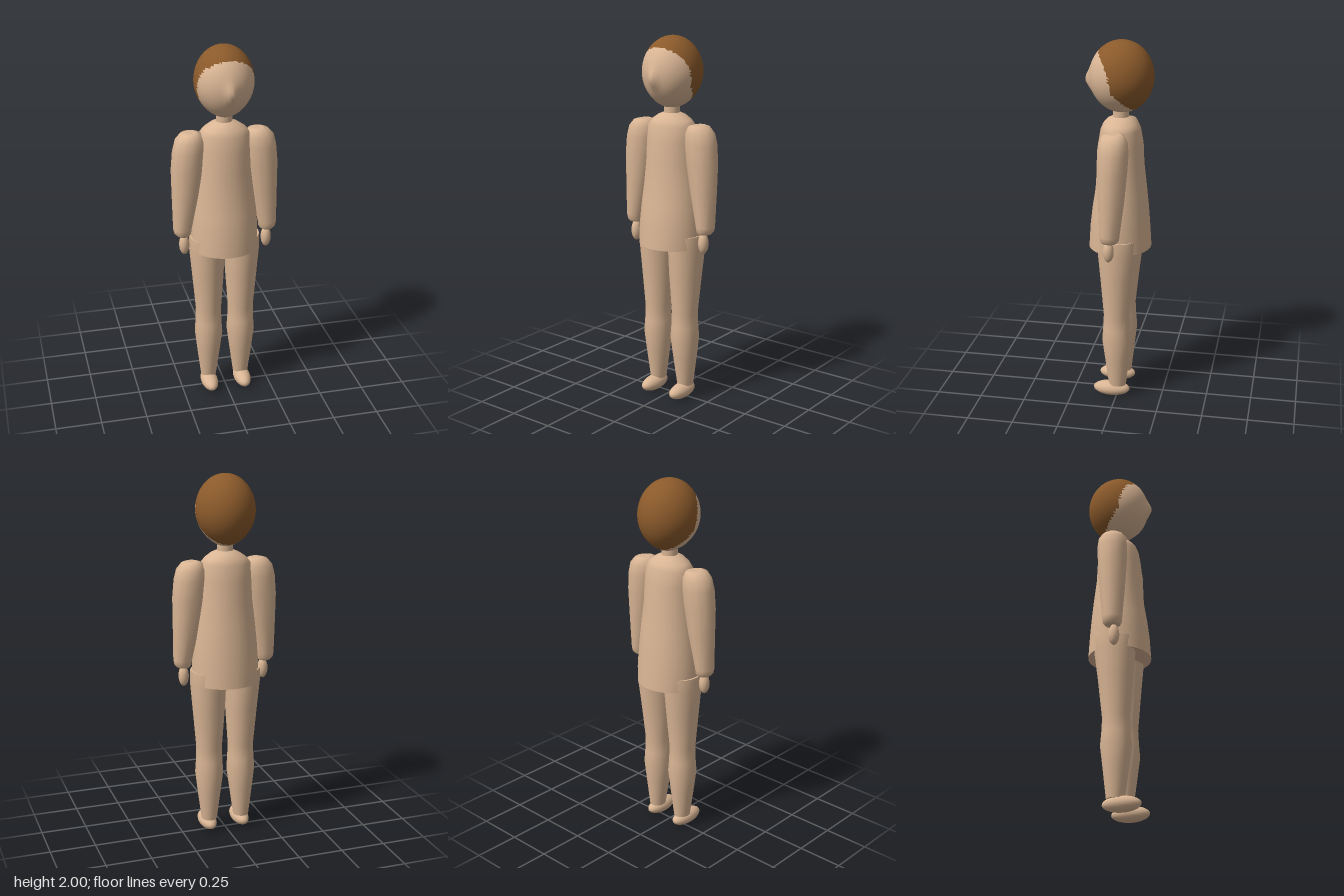
import * as THREE from 'three';
import { mergeVertices } from 'three/addons/utils/BufferGeometryUtils.js';

const skin = new THREE.MeshStandardMaterial({ color: 0xd9b594 });
skin.name = 'skin';
const hair = new THREE.MeshStandardMaterial({ color: 0x8b5a2b });
hair.name = 'hair brown';

// Stack of elliptical rings, top to bottom: [y, centreX, centreZ, radiusX, radiusZ]
function loft(name, rings, sides) {
  const n = rings.length - 1;
  let geo = new THREE.CylinderGeometry(1, 1, 1, sides, n);
  geo.deleteAttribute('uv');
  geo = mergeVertices(geo); // closes the seam, keeps cap edges sharp
  const p = geo.attributes.position;
  for (let i = 0; i < p.count; i++) {
    const [y, cx, cz, rx, rz] = rings[Math.round((0.5 - p.getY(i)) * n)];
    p.setXYZ(i, cx + p.getX(i) * rx, y, cz + p.getZ(i) * rz);
  }
  geo.computeVertexNormals();
  const mesh = new THREE.Mesh(geo, skin);
  mesh.name = name;
  return mesh;
}

function ellipsoid(name, centre, radii) {
  const mesh = new THREE.Mesh(new THREE.SphereGeometry(1, 20, 14), skin);
  mesh.name = name;
  mesh.position.set(...centre);
  mesh.scale.set(...radii);
  return mesh;
}

// Egg-shaped head with a soft pointed nose; hair covers the faces behind the hairline
function makeHead() {
  let geo = new THREE.SphereGeometry(1, 56, 40);
  geo.deleteAttribute('uv');
  geo = mergeVertices(geo);
  const p = geo.attributes.position;
  for (let i = 0; i < p.count; i++) {
    const ux = p.getX(i), uy = p.getY(i), uz = p.getZ(i);
    const taper = uy < 0 ? 1 - 0.13 * uy * uy : 1;
    const x = ux * 0.157 * taper;
    const y = 1.81 + uy * 0.19;
    let z = -0.012 + uz * 0.17;
    if (uz > 0) z += 0.025 * Math.exp(-((x / 0.025) ** 2) - ((y - 1.785) / 0.05) ** 2);
    p.setXYZ(i, x, y, z);
  }
  geo.computeVertexNormals();

  const hairline = [[1.62, -0.1], [1.71, -0.01], [1.75, 0.025], [1.83, 0.037], [1.89, 0.063], [1.95, 0.11], [2.01, 0.2]];
  const limit = (y) => {
    let k = 0;
    while (k < hairline.length - 2 && y > hairline[k + 1][0]) k++;
    const [y0, z0] = hairline[k], [y1, z1] = hairline[k + 1];
    return z0 + (z1 - z0) * (y - y0) / (y1 - y0);
  };
  const faces = [[], []];
  const idx = geo.index.array;
  for (let i = 0; i < idx.length; i += 3) {
    const f = [idx[i], idx[i + 1], idx[i + 2]];
    const y = f.reduce((s, v) => s + p.getY(v), 0) / 3;
    const z = f.reduce((s, v) => s + p.getZ(v), 0) / 3;
    faces[z < limit(y) ? 1 : 0].push(...f);
  }
  geo.setIndex([...faces[0], ...faces[1]]);
  geo.addGroup(0, faces[0].length, 0);
  geo.addGroup(faces[0].length, faces[1].length, 1);
  const mesh = new THREE.Mesh(geo, [skin, hair]);
  mesh.name = 'headAndHair';
  return mesh;
}

export function createModel() {
  const model = new THREE.Group();
  model.name = 'standingFigure';
  model.add(makeHead());

  model.add(loft('neck', [[1.67, 0, -0.007, 0.043, 0.043], [1.58, 0, -0.007, 0.043, 0.043]], 20));

  // Torso, flaring to the hem
  model.add(loft('torso', [
    [1.597, 0, -0.005, 0.045, 0.045],
    [1.585, 0, -0.006, 0.075, 0.07],
    [1.56, 0, -0.007, 0.112, 0.093],
    [1.53, 0, -0.007, 0.137, 0.106],
    [1.45, 0, -0.007, 0.142, 0.12],
    [1.34, 0, -0.007, 0.146, 0.125],
    [1.2, 0, -0.01, 0.162, 0.138],
    [1.1, 0, -0.007, 0.173, 0.151],
    [1.0, 0, -0.005, 0.181, 0.161],
    [0.875, 0, -0.005, 0.182, 0.169],
  ], 36));

  for (const s of [1, -1]) {
    const side = s > 0 ? 'left' : 'right';

    model.add(loft(side + 'Arm', [
      [1.547, s * 0.18, 0, 0.03, 0.04],
      [1.54, s * 0.182, 0, 0.056, 0.06],
      [1.505, s * 0.188, 0, 0.08, 0.077],
      [1.45, s * 0.194, 0.001, 0.088, 0.083],
      [1.35, s * 0.204, 0.003, 0.087, 0.08],
      [1.2, s * 0.216, 0.006, 0.073, 0.07],
      [1.01, s * 0.235, 0.012, 0.051, 0.054],
      [0.985, s * 0.234, 0.012, 0.047, 0.051],
      [0.97, s * 0.232, 0.013, 0.036, 0.04],
    ], 12));

    model.add(ellipsoid(side + 'Hand', [s * 0.228, 0.917, 0.019], [0.028, 0.058, 0.029]));

    model.add(loft(side + 'Leg', [
      [0.945, s * 0.097, -0.008, 0.096, 0.112],
      [0.87, s * 0.098, -0.008, 0.097, 0.11],
      [0.72, s * 0.094, -0.005, 0.088, 0.094],
      [0.5, s * 0.092, -0.002, 0.071, 0.073],
      [0.42, s * 0.092, -0.002, 0.073, 0.077],
      [0.35, s * 0.092, -0.002, 0.078, 0.083],
      [0.24, s * 0.093, -0.003, 0.065, 0.069],
      [0.07, s * 0.094, -0.005, 0.043, 0.048],
    ], 20));

    model.add(ellipsoid(side + 'Foot', [s * 0.096, 0.042, 0.028], [0.047, 0.042, 0.103]));
  }
  return model;
}
